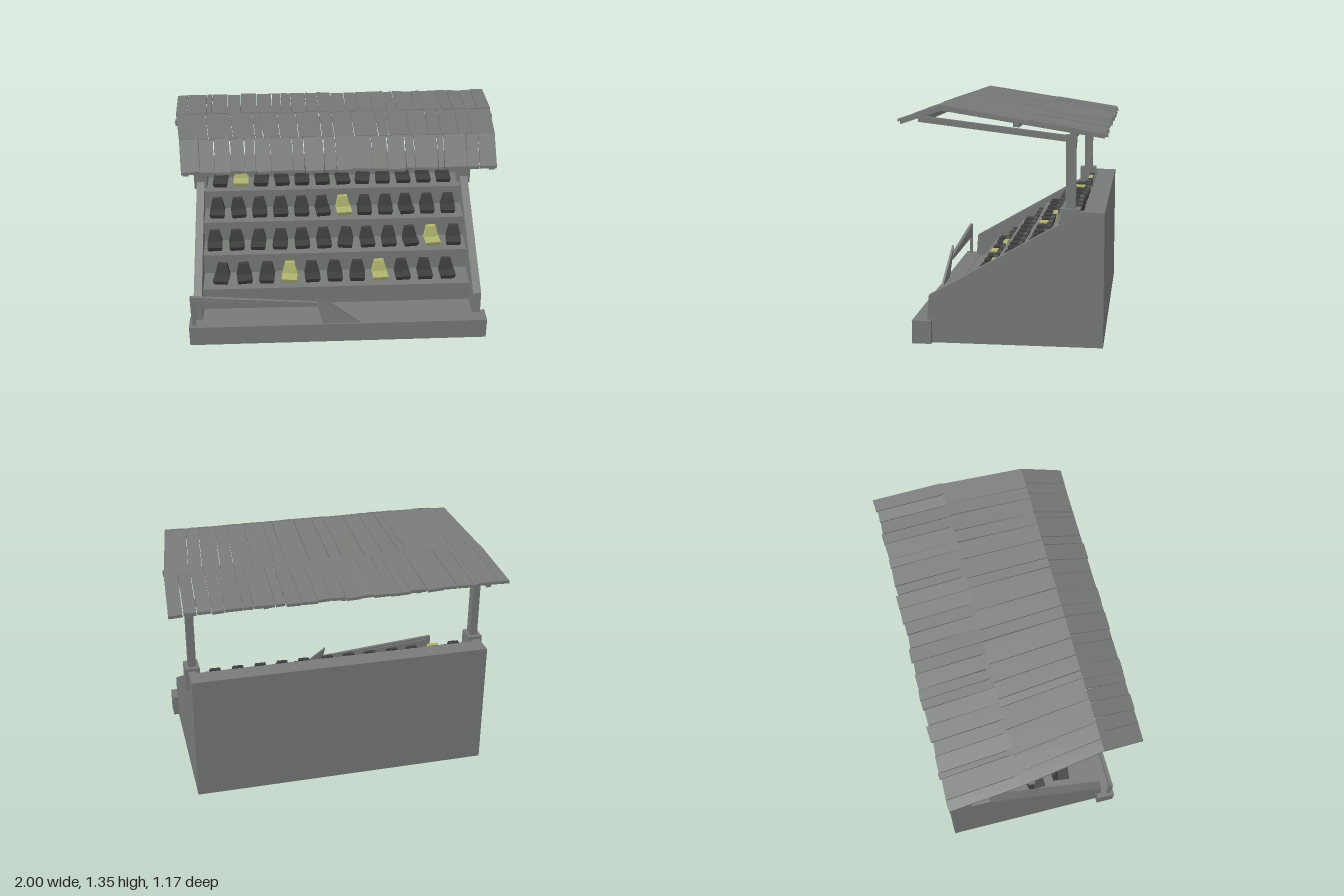
import * as THREE from 'three';

const mat = (name, color) => {
  const m = new THREE.MeshStandardMaterial({ color });
  m.name = name;
  return m;
};

export function createModel() {
  const root = new THREE.Group();
  root.name = 'grandstand';
  const grey = mat('weathered grey', 0x777a78);
  const dark = mat('dark seat', 0x3d3e3d);
  const yellow = mat('faded yellow', 0xb0b46e);

  let seed = 7;
  const rnd = () => (seed = (seed * 16807) % 2147483647) / 2147483647;

  const add = (parent, name, geo, material) => {
    const m = new THREE.Mesh(geo, material);
    m.name = name;
    parent.add(m);
    return m;
  };
  const group = (name) => {
    const g = new THREE.Group();
    g.name = name;
    root.add(g);
    return g;
  };
  // box given by its limits
  const block = (x0, x1, y0, y1, z0, z1) =>
    new THREE.BoxGeometry(x1 - x0, y1 - y0, z1 - z0).translate((x0 + x1) / 2, (y0 + y1) / 2, (z0 + z1) / 2);
  // six-sided solid: the rule places each corner from its side signs
  const hexa = (rule) => {
    const g = new THREE.BoxGeometry(2, 2, 2);
    const p = g.attributes.position;
    for (let i = 0; i < p.count; i++) p.setXYZ(i, ...rule(p.getX(i), p.getY(i), p.getZ(i)));
    g.computeVertexNormals();
    return g;
  };
  // side profile of [z, y] points extruded between x0 and x1
  const profile = (pts, x0, x1) => {
    const s = new THREE.Shape(pts.map(([z, y]) => new THREE.Vector2(-z, y)));
    return new THREE.ExtrudeGeometry(s, { depth: x1 - x0, bevelEnabled: false })
      .rotateY(Math.PI / 2).translate(x0, 0, 0);
  };

  // stepped terrace
  const tread = [0.255, 0.39, 0.525, 0.655];
  const riser = [0.28, 0.095, -0.085, -0.265, -0.45];
  const steps = [[0.405, 0], [0.405, 0.13], [riser[0], 0.13]];
  tread.forEach((y, i) => steps.push([riser[i], y], [riser[i + 1], y]));
  steps.push([-0.45, 0.766], [-0.564, 0.764], [-0.564, 0]);
  add(root, 'terrace', profile(steps, -0.85, 0.85), grey);

  // side walls, post footings and posts
  const wall = [[0.405, 0], [0.43, 0.13], [0.42, 0.272], [-0.335, 0.705], [-0.38, 0.768], [-0.564, 0.764], [-0.564, 0]];
  for (const s of [-1, 1]) {
    const side = s > 0 ? 'left' : 'right';
    add(root, side + 'Wall', profile(wall, s > 0 ? 0.845 : -0.895, s > 0 ? 0.895 : -0.845), grey);
    const at = (x0, x1, ...r) => (s > 0 ? block(x0, x1, ...r) : block(-x1, -x0, ...r));
    add(root, side + 'Footing', at(0.828, 0.912, 0.645, 0.785, -0.43, -0.32), grey);
    add(root, side + 'Post', at(0.845, 0.89, 0.78, 1.19, -0.405, -0.35), grey);
  }
  add(root, 'frontPlinth', block(-0.927, 0.927, 0, 0.133, 0.402, 0.512), grey);

  // seats
  const seats = group('seats');
  const pan = hexa((x, y, z) => [
    x * (y > 0 ? 0.049 : 0.042), y > 0 ? 0.032 : 0, z > 0 ? (y > 0 ? 0.058 : 0.045) : -0.045]);
  const back = hexa((x, y, z) => [
    x * (y > 0 ? 0.03 : 0.048), y > 0 ? 0.1 : 0.028, (y > 0 ? -0.045 : -0.028) + z * 0.014]);
  const rows = [
    { n: 11, from: -0.73, to: 0.71, lit: [3, 7] },
    { n: 12, from: -0.775, to: 0.77, lit: [10] },
    { n: 12, from: -0.76, to: 0.75, lit: [6] },
    { n: 12, from: -0.74, to: 0.735, lit: [1] },
  ];
  rows.forEach((row, r) => {
    for (let i = 0; i < row.n; i++) {
      const seat = new THREE.Group();
      seat.name = 'seat';
      const m = row.lit.includes(i) ? yellow : dark;
      add(seat, 'seatPan', pan, m);
      add(seat, 'seatBack', back, m);
      seat.position.set(row.from + ((row.to - row.from) * i) / (row.n - 1), tread[r], (riser[r] + riser[r + 1]) / 2 - 0.005);
      seat.rotation.y = (rnd() - 0.5) * 0.25;
      seats.add(seat);
    }
  });

  // broken front barrier
  const barrier = group('frontBarrier');
  const plate = (pts, z, t) => {
    const s = new THREE.Shape(pts.map(([x, y]) => new THREE.Vector2(x, y)));
    return new THREE.ExtrudeGeometry(s, { depth: t, bevelEnabled: false }).translate(0, 0, z);
  };
  add(barrier, 'barrierPost', block(-0.91, -0.885, 0.13, 0.34, 0.468, 0.488), grey);
  add(barrier, 'barrierPanel', plate([[-0.91, 0.32], [-0.91, 0.255], [-0.13, 0.25], [-0.13, 0.262]], 0.47, 0.012), grey);
  add(barrier, 'barrierRail', plate([[-0.91, 0.345], [-0.91, 0.328], [-0.13, 0.265], [-0.13, 0.28]], 0.467, 0.02), grey);
  const shard = plate([[-0.145, 0.345], [-0.1, 0.13], [0.135, 0.13]], 0, 0.014);
  const sp = shard.attributes.position;
  for (let i = 0; i < sp.count; i++) sp.setZ(i, sp.getZ(i) + 0.465 + (0.345 - sp.getY(i)) * 0.11);
  shard.computeVertexNormals();
  add(barrier, 'barrierShard', shard, grey);

  // roof outline: half width and top height along z
  const roofLine = [[-0.58, 1.0, 1.205], [-0.1, 0.97, 1.283], [0.335, 0.91, 1.35], [0.585, 0.885, 1.266]];
  const roofAt = (z) => {
    let i = 0;
    while (i < 2 && z > roofLine[i + 1][0]) i++;
    const [a, b] = [roofLine[i], roofLine[i + 1]];
    const t = (z - a[0]) / (b[0] - a[0]);
    return [a[1] + (b[1] - a[1]) * t, a[2] + (b[2] - a[2]) * t];
  };

  // roof planks in three courses, uneven in width, length and lift
  const roof = group('roofPlanks');
  const courses = [[-0.582, -0.15, 24], [-0.175, 0.335, 18], [0.335, 0.585, 20]];
  courses.forEach(([z0, z1, n], c) => {
    const cuts = [-1];
    for (let i = 1; i < n; i++) cuts.push(-1 + (2 * (i + (rnd() - 0.5) * 0.7)) / n);
    cuts.push(1);
    for (let i = 0; i < n; i++) {
      const gap = [rnd() * 0.006, rnd() * 0.006];
      const lift = [rnd() * 0.005, rnd() * 0.005];
      const trim = rnd() * 0.016;
      const skew = (rnd() - 0.5) * 0.012;
      const za = c === 0 ? z0 + trim : z0;
      const zb = c === 2 ? z1 - trim * 0.5 : z1;
      add(roof, 'roofPlank', hexa((x, y, z) => {
        const zz = z > 0 ? zb : za;
        const [w, h] = roofAt(zz);
        const edge = cuts[x > 0 ? i + 1 : i];
        const inner = Math.abs(edge) < 1;
        const px = edge * w - (inner ? x * gap[z > 0 ? 1 : 0] * 0.6 : 0);
        const pz = zz + (c === 0 && z < 0 ? skew * x * 0.5 : 0);
        const top = h + (z > 0 && c === 1 ? 0 : -lift[x > 0 ? 1 : 0]) + (c === 0 ? 0.003 : 0);
        return [px, top - (y > 0 ? 0 : 0.017), pz];
      }), grey);
    }
  });

  // timber frame under the roof
  const frame = group('roofFrame');
  // beam running from one [z, y] point to another at a given x
  const rafter = (name, x, w, t, [za, ya], [zb, yb]) =>
    add(frame, name, hexa((sx, sy, sz) => [x + (sx * w) / 2, (sz > 0 ? ya : yb) + (sy * t) / 2, sz > 0 ? za : zb]), grey);
  for (const s of [-1, 1]) {
    rafter('mainBeam', s * 0.867, 0.04, 0.034, [0.465, 1.268], [-0.41, 1.162]);
    rafter('rearRafter', s * 0.875, 0.03, 0.02, [0.335, 1.324], [-0.56, 1.182]);
    rafter('frontRafter', s * 0.86, 0.03, 0.02, [0.57, 1.246], [0.335, 1.324]);
  }
  for (const x of [-0.45, 0, 0.45]) rafter('middleRafter', x, 0.025, 0.018, [0.335, 1.325], [-0.55, 1.184]);
  add(frame, 'middlePurlin', block(-0.972, 0.972, 1.236, 1.266, -0.105, -0.07), grey);
  add(frame, 'frontPurlin', block(-0.875, 0.875, 1.252, 1.284, 0.43, 0.46), grey);
  add(frame, 'rearPurlin', block(-0.89, 0.89, 1.168, 1.2, -0.405, -0.37), grey);

  return root;
}
